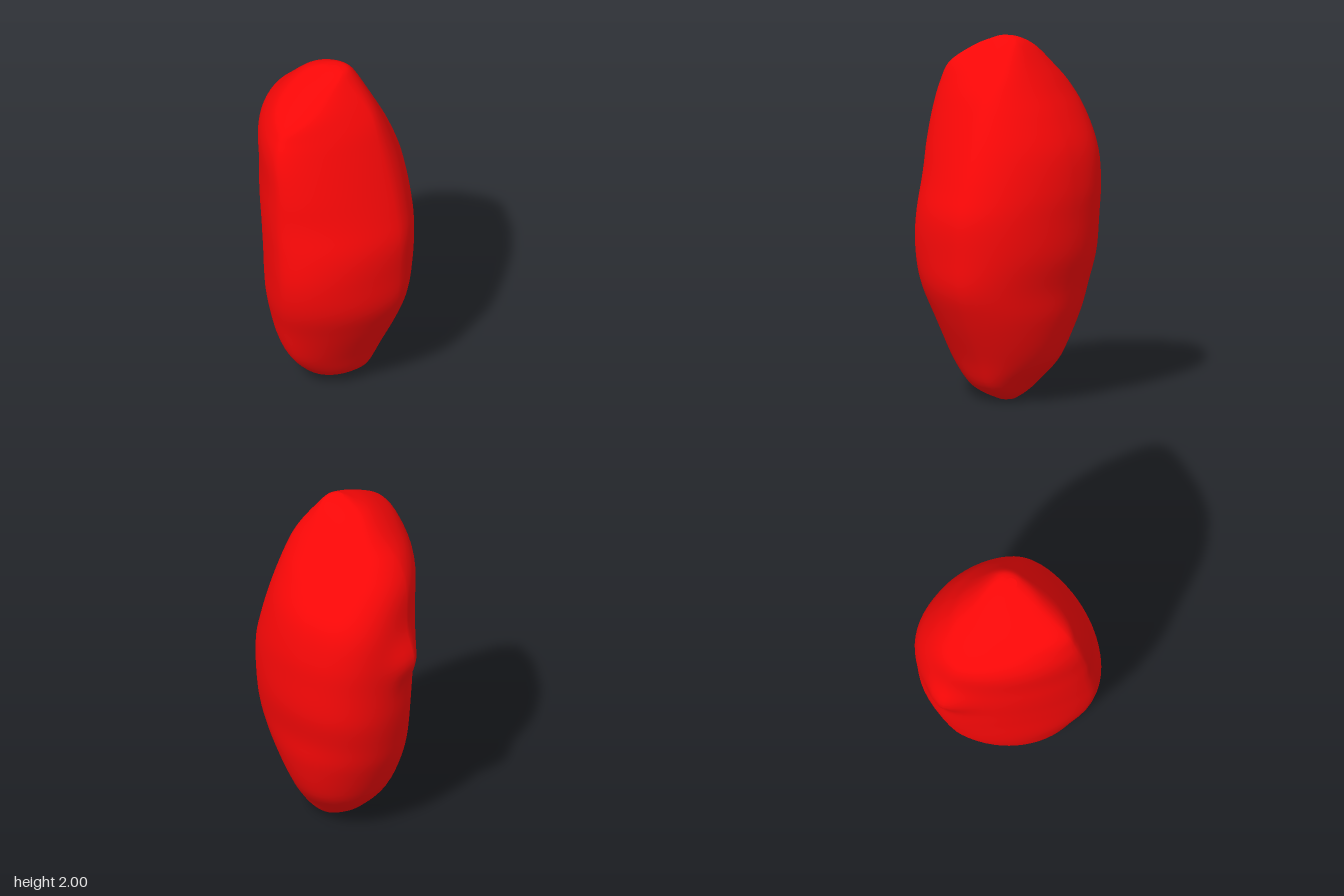
import * as THREE from 'three';

// Outline from bottom to top: y, left x, right x, back z, front z
const OUTLINE = [
  [0.005, 0.02, 0.11, -0.10, -0.02],
  [0.04, -0.05, 0.18, -0.15, 0.11],
  [0.10, -0.14, 0.245, -0.20, 0.20],
  [0.24, -0.265, 0.31, -0.305, 0.31],
  [0.46, -0.365, 0.42, -0.38, 0.385],
  [0.64, -0.41, 0.49, -0.41, 0.44],
  [0.83, -0.44, 0.505, -0.45, 0.465],
  [1.03, -0.45, 0.505, -0.46, 0.465],
  [1.20, -0.455, 0.465, -0.46, 0.46],
  [1.40, -0.45, 0.405, -0.43, 0.455],
  [1.58, -0.43, 0.345, -0.355, 0.445],
  [1.71, -0.37, 0.295, -0.285, 0.415],
  [1.82, -0.27, 0.235, -0.225, 0.355],
  [1.93, -0.155, 0.16, -0.16, 0.18],
  [1.985, -0.05, 0.115, -0.11, 0.05],
  [2.00, 0.02, 0.08, -0.05, 0.01],
];

// Where the ridges run: y, z of left ridge, z of right, x of back, x of front,
// then roundness of the corners: front right, front left, back left, back right
const RIDGES = [
  [0, -0.06, -0.06, 0.06, 0.06, 2, 2, 2, 2],
  [0.25, -0.04, -0.07, 0, 0.08, 1.8, 1.7, 2, 1.8],
  [0.85, -0.06, -0.08, -0.05, 0.16, 1.85, 1.45, 2.3, 1.85],
  [1.3, -0.06, -0.1, -0.05, 0.12, 1.75, 1.5, 2.5, 1.8],
  [1.75, -0.01, -0.09, -0.03, 0.07, 1.7, 1.55, 2.1, 1.9],
  [2.01, -0.02, -0.02, 0.05, 0.05, 2, 2, 2, 2],
];

const AROUND = 64, STEPS = 5;

// Smooth curve through the outline rows
function outlineAt(t) {
  const last = OUTLINE.length - 1;
  const i = Math.min(Math.floor(t), last - 1), f = t - i;
  const row = (k) => OUTLINE[THREE.MathUtils.clamp(k, 0, last)];
  return OUTLINE[0].map((_, c) => {
    const [a, b, d, e] = [row(i - 1)[c], row(i)[c], row(i + 1)[c], row(i + 2)[c]];
    const m0 = (d - a) / 2, m1 = (e - b) / 2;
    return b + f * (m0 + f * (3 * (d - b) - 2 * m0 - m1 + f * (2 * (b - d) + m0 + m1)));
  });
}

// Eased blend of the ridge values at a height
function ridgesAt(y) {
  const i = RIDGES.findIndex((ridge) => ridge[0] > y);
  const low = RIDGES[i - 1], high = RIDGES[i];
  const f = THREE.MathUtils.smoothstep(y, low[0], high[0]);
  return low.map((value, c) => THREE.MathUtils.lerp(value, high[c], f));
}

// Small knob on the left flank
function knob(y, z) {
  return 0.055 * Math.exp(-(((y - 1.17) / 0.13) ** 2) - ((z + 0.06) / 0.12) ** 2);
}

// One closed cross-section: four rounded corners joining the ridges
function crossSection(t) {
  const [y, left, right, back, front] = outlineAt(t);
  const [, leftZ, rightZ, backX, frontX, ...roundness] = ridgesAt(y);
  const points = [];
  for (let j = 0; j < AROUND; j++) {
    const angle = (j / AROUND) * Math.PI * 2;
    const quarter = Math.floor((j * 4) / AROUND);
    const power = 2 / roundness[quarter];
    const u = Math.abs(Math.cos(angle)) ** power;
    const v = Math.abs(Math.sin(angle)) ** power;
    const onRight = quarter === 0 || quarter === 3, onFront = quarter < 2;
    const x = THREE.MathUtils.lerp(onFront ? frontX : backX, onRight ? right : left, u);
    const z = THREE.MathUtils.lerp(onRight ? rightZ : leftZ, onFront ? front : back, v);
    points.push(onRight ? x : x - u * knob(y, z), y, z);
  }
  return points;
}

function rockGeometry() {
  const positions = [], index = [];
  const rings = (OUTLINE.length - 1) * STEPS;
  for (let r = 0; r <= rings; r++) positions.push(...crossSection(r / STEPS));
  for (let r = 0; r < rings; r++) {
    for (let j = 0; j < AROUND; j++) {
      const a = r * AROUND + j, b = r * AROUND + ((j + 1) % AROUND);
      index.push(a, a + AROUND, b, b, a + AROUND, b + AROUND);
    }
  }
  // Close the two tips
  const bottom = positions.length / 3, top = bottom + 1, lastRing = rings * AROUND;
  positions.push(0.065, 0, -0.06, 0.05, 2, -0.02);
  for (let j = 0; j < AROUND; j++) {
    const k = (j + 1) % AROUND;
    index.push(bottom, j, k, top, lastRing + k, lastRing + j);
  }
  const geometry = new THREE.BufferGeometry();
  geometry.setAttribute('position', new THREE.Float32BufferAttribute(positions, 3));
  geometry.setIndex(index);
  geometry.computeVertexNormals();
  return geometry;
}

export function createModel() {
  const group = new THREE.Group();
  const rock = new THREE.Mesh(rockGeometry(), new THREE.MeshStandardMaterial({ color: 0xff0808 }));
  rock.name = 'rock';
  group.add(rock);
  return group;
}
